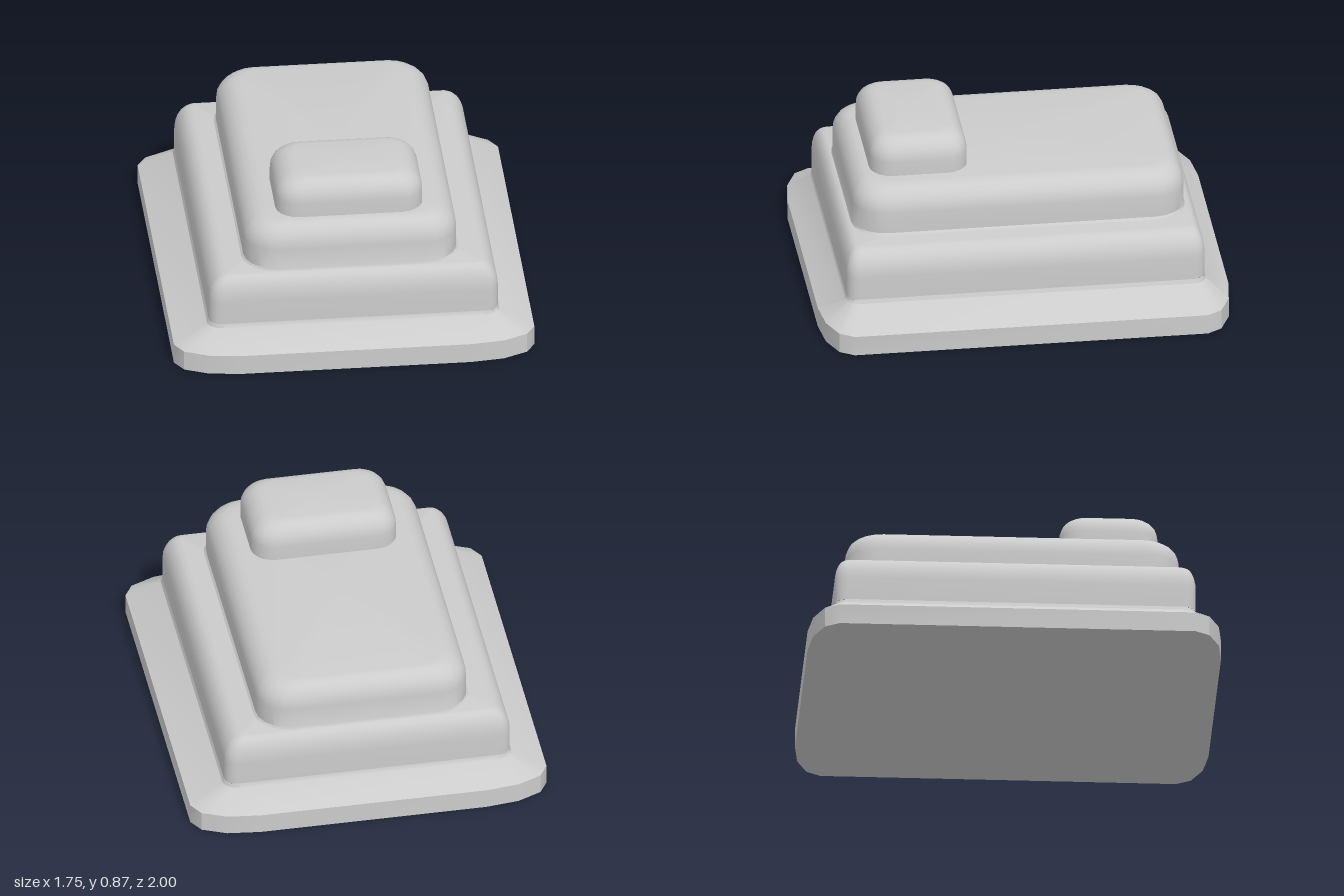
import * as THREE from 'three';
import { toCreasedNormals } from 'three/addons/utils/BufferGeometryUtils.js';

const material = new THREE.MeshStandardMaterial({ color: 0xcccccc });

// One horizontal outline: a rectangle with elliptical corners
function outline({ hx, hz, rx, rz, y }, segments) {
  const points = [];
  for (let corner = 0; corner < 4; corner++) {
    const sx = corner === 0 || corner === 3 ? 1 : -1;
    const sz = corner < 2 ? 1 : -1;
    for (let i = 0; i <= segments; i++) {
      const a = (corner + i / segments) * Math.PI / 2;
      points.push([sx * (hx - rx) + rx * Math.cos(a), y, sz * (hz - rz) + rz * Math.sin(a)]);
    }
  }
  return points;
}

// Skin a stack of outlines and close its ends
function loft(name, rings, segments, capBottom, capTop) {
  const n = 4 * (segments + 1);
  const positions = rings.flatMap(r => outline(r, segments).flat());
  const index = [];
  for (let k = 0; k < rings.length - 1; k++) {
    for (let j = 0; j < n; j++) {
      const a = k * n + j, b = k * n + (j + 1) % n;
      index.push(a, a + n, b, b, a + n, b + n);
    }
  }
  const cap = (k, up) => {
    const centre = positions.length / 3;
    positions.push(0, rings[k].y, 0);
    for (let j = 0; j < n; j++) {
      const a = k * n + j, b = k * n + (j + 1) % n;
      index.push(centre, up ? b : a, up ? a : b);
    }
  };
  if (capBottom) cap(0, false);
  if (capTop) cap(rings.length - 1, true);
  const geometry = new THREE.BufferGeometry();
  geometry.setAttribute('position', new THREE.Float32BufferAttribute(positions, 3));
  geometry.setIndex(index);
  const mesh = new THREE.Mesh(toCreasedNormals(geometry, 0.6), material);
  mesh.name = name;
  return mesh;
}

// A block with upright walls and a rounded upper edge
function tier(name, { hx, hz, r, y0, y1, bx, bz, by, foot = 0 }, segments) {
  const rings = [];
  if (foot) rings.push({ hx: hx + foot, hz: hz + foot / 2, rx: r + foot, rz: r + foot / 2, y: y0 });
  rings.push({ hx, hz, rx: r, rz: r, y: y0 + foot });
  const steps = 6;
  for (let i = 0; i <= steps; i++) {
    const a = i / steps * Math.PI / 2;
    const ix = bx * (1 - Math.cos(a)), iz = bz * (1 - Math.sin(Math.PI / 2 - a));
    rings.push({
      hx: hx - ix, hz: hz - iz,
      rx: Math.max(r - ix / 2, 0.02), rz: Math.max(r - iz / 2, 0.02),
      y: y1 - by + by * Math.sin(a),
    });
  }
  return loft(name, rings, segments, false, true);
}

export function createModel() {
  const model = new THREE.Group();
  model.name = 'steppedBlock';

  // Wide foot with a sloped shoulder
  model.add(loft('plinth', [
    { hx: 0.875, hz: 1, rx: 0.32, rz: 0.14, y: 0 },
    { hx: 0.875, hz: 1, rx: 0.32, rz: 0.14, y: 0.1 },
    { hx: 0.71, hz: 0.88, rx: 0.08, rz: 0.06, y: 0.19 },
    { hx: 0.702, hz: 0.873, rx: 0.06, rz: 0.06, y: 0.21 },
  ], 3, true, false));

  // Lower and middle steps
  model.add(tier('lowerStep',
    { hx: 0.702, hz: 0.873, r: 0.06, y0: 0.21, y1: 0.455, bx: 0.09, bz: 0.06, by: 0.13 }, 4));
  model.add(tier('middleStep',
    { hx: 0.517, hz: 0.808, r: 0.16, y0: 0.453, y1: 0.69, bx: 0.12, bz: 0.09, by: 0.12, foot: 0.012 }, 5));

  // Small raised block near the front
  const topBlock = tier('topBlock',
    { hx: 0.357, hz: 0.238, r: 0.11, y0: 0.68, y1: 0.873, bx: 0.11, bz: 0.09, by: 0.11 }, 5);
  topBlock.position.z = 0.472;
  model.add(topBlock);
  return model;
}
